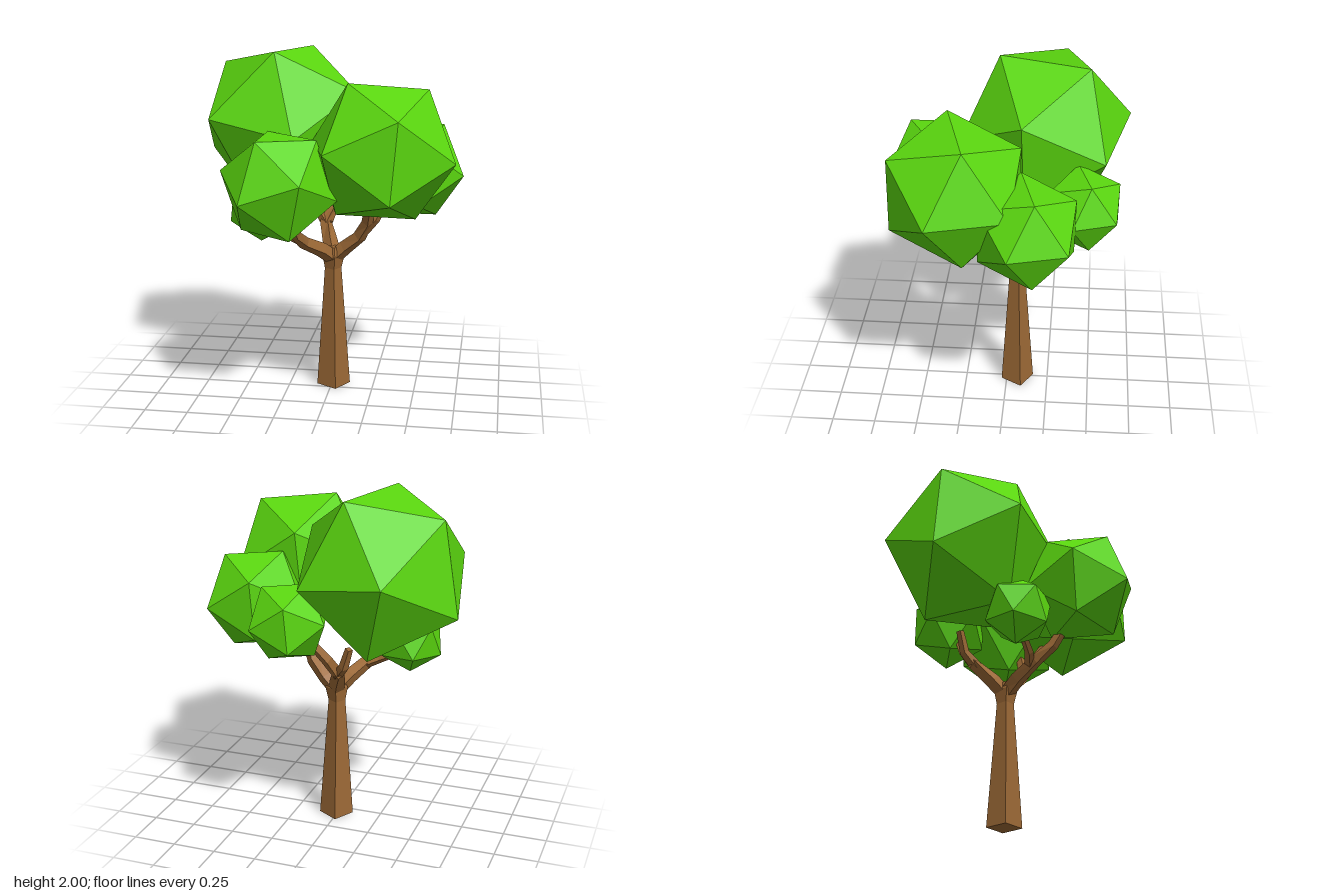
import * as THREE from 'three';

const leafGreen = new THREE.MeshStandardMaterial({ color: 0x5ad60f, flatShading: true });
leafGreen.name = 'leaf green';
const barkBrown = new THREE.MeshStandardMaterial({ color: 0x9c6936, flatShading: true });
barkBrown.name = 'bark brown';

const vec = (p) => new THREE.Vector3(p[0], p[1], p[2]);

// Leaf clump: an icosahedron turned so that one of its edges runs from a to b
function clump(name, centre, a, b) {
  const c = vec(centre), pa = vec(a).sub(c), pb = vec(b).sub(c);
  const radius = (pa.length() + pb.length()) / 2;
  const up = pa.clone().add(pb).normalize();
  const along = pb.clone().sub(pa);
  along.addScaledVector(up, -along.dot(up)).normalize();
  const side = along.clone().cross(up);
  const mesh = new THREE.Mesh(new THREE.IcosahedronGeometry(radius, 0), leafGreen);
  mesh.quaternion.setFromRotationMatrix(new THREE.Matrix4().makeBasis(along, up, side));
  mesh.position.copy(c);
  mesh.name = name;
  return mesh;
}

// Four-sided tapering limb; each stop is [x, y, z, radius]
function limb(name, stops) {
  const ref = new THREE.Vector3(0.25, 0, 0.97);
  const rings = stops.map((s, i) => {
    const next = vec(stops[Math.min(i + 1, stops.length - 1)]);
    const t = next.sub(vec(stops[Math.max(i - 1, 0)])).normalize();
    if (name === 'trunk') t.set(0, 1, 0);
    const u = ref.clone().addScaledVector(t, -ref.dot(t)).normalize();
    const v = t.clone().cross(u);
    return [0, 1, 2, 3].map((k) => vec(s)
      .addScaledVector(u, s[3] * Math.cos(k * Math.PI / 2))
      .addScaledVector(v, s[3] * Math.sin(k * Math.PI / 2)));
  });
  const points = [];
  const quad = (a, b, c, d) => points.push(a, b, c, a, c, d);
  for (let i = 0; i < rings.length - 1; i++) {
    for (let k = 0; k < 4; k++) {
      const n = (k + 1) % 4;
      quad(rings[i][k], rings[i][n], rings[i + 1][n], rings[i + 1][k]);
    }
  }
  const first = rings[0], last = rings[rings.length - 1];
  quad(first[3], first[2], first[1], first[0]);
  quad(last[0], last[1], last[2], last[3]);
  const geometry = new THREE.BufferGeometry().setFromPoints(points);
  geometry.computeVertexNormals();
  const mesh = new THREE.Mesh(geometry, barkBrown);
  mesh.name = name;
  return mesh;
}

export function createModel() {
  const tree = new THREE.Group();
  tree.name = 'tree';

  // Trunk with a slight knot where the branches start
  tree.add(limb('trunk', [
    [0.01, 0, -0.065, 0.099], [0.007, 0.73, -0.061, 0.049],
    [0.01, 0.81, -0.06, 0.066], [0.01, 0.86, -0.06, 0.04],
  ]));

  // Three main branches, each forking into two
  const branches = new THREE.Group();
  branches.name = 'branches';
  branches.add(
    limb('leftBranch', [[0.01, 0.79, -0.06, 0.045], [0.08, 0.86, -0.05, 0.045],
      [0.17, 0.94, -0.01, 0.04], [0.22, 1.04, 0.04, 0.034], [0.25, 1.2, 0.14, 0.026]]),
    limb('leftFork', [[0.18, 0.96, 0, 0.034], [0.26, 1.05, 0, 0.03], [0.33, 1.18, -0.03, 0.024]]),
    limb('frontBranch', [[0.01, 0.79, -0.06, 0.045], [-0.05, 0.86, 0.02, 0.045],
      [-0.13, 0.93, 0.14, 0.038], [-0.16, 1.0, 0.24, 0.032], [-0.17, 1.12, 0.32, 0.026]]),
    limb('frontFork', [[-0.11, 0.91, 0.1, 0.03], [-0.2, 0.95, 0.11, 0.025], [-0.34, 1.02, 0.09, 0.018]]),
    limb('backBranch', [[0.01, 0.79, -0.06, 0.045], [-0.02, 0.87, -0.13, 0.045],
      [-0.06, 0.96, -0.23, 0.038], [-0.02, 1.06, -0.3, 0.032], [0.08, 1.2, -0.36, 0.024]]),
    limb('backFork', [[-0.05, 0.95, -0.22, 0.034], [-0.11, 1.02, -0.28, 0.028], [-0.15, 1.14, -0.3, 0.022]]),
  );
  tree.add(branches);

  // Leaf clumps: centre, then the two ends of one edge
  const leaves = new THREE.Group();
  leaves.name = 'leaves';
  leaves.add(
    clump('largeRightClump', [-0.31, 1.575, -0.205], [-0.31, 2.0, 0.06], [-0.17, 2.0, -0.45]),
    clump('largeLeftClump', [0.324, 1.49, 0.259], [0.14, 1.87, 0.31], [0.57, 1.83, 0.19]),
    clump('frontClump', [-0.225, 1.32, 0.408], [-0.06, 1.376, 0.69], [-0.39, 1.265, 0.69]),
    clump('leftClump', [0.457, 1.326, -0.137], [0.67, 1.307, -0.367], [0.76, 1.307, -0.05]),
    clump('backClump', [0.153, 1.31, -0.436], [0.104, 1.44, -0.63], [0.287, 1.505, -0.48]),
    clump('lowRightClump', [-0.39, 1.113, 0.08], [-0.57, 1.026, 0.08], [-0.526, 1.2, 0.2]),
  );
  tree.add(leaves);
  return tree;
}
